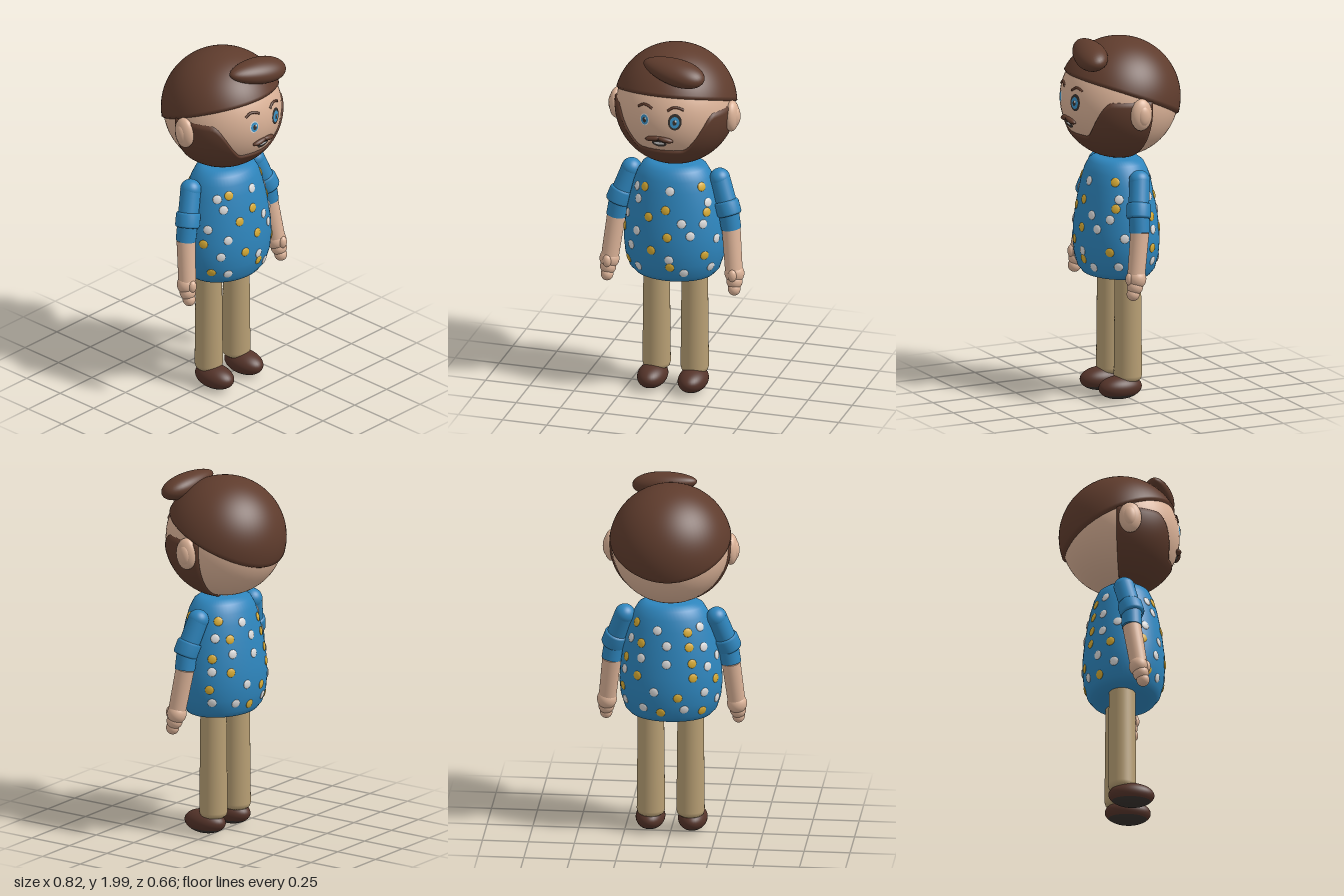
import * as THREE from 'three';
import { mergeVertices } from 'three/addons/utils/BufferGeometryUtils.js';

const V = (x, y, z) => new THREE.Vector3(x, y, z);
const paint = (name, color) => {
  const m = new THREE.MeshStandardMaterial({ color });
  m.name = name;
  return m;
};

export function createModel() {
  const model = new THREE.Group();
  model.name = 'man';
  const skin = paint('skin', 0xdcb398), hair = paint('hair brown', 0x5f3c2d);
  const shirt = paint('shirt blue', 0x2e86be), khaki = paint('trouser khaki', 0xb89f74);
  const shoe = paint('shoe brown', 0x55342a), dark = paint('charcoal', 0x38322e);
  const white = paint('white', 0xdcdcdc), yellow = paint('yellow', 0xd9ad35);
  const iris = paint('iris blue', 0x3b93c8);
  hair.side = THREE.DoubleSide;

  const add = (name, geo, mat, pos = V(0, 0, 0)) => {
    const m = new THREE.Mesh(geo, mat);
    m.name = name;
    m.position.copy(pos);
    model.add(m);
    return m;
  };
  const blob = (name, mat, pos, r) => {
    const m = add(name, new THREE.SphereGeometry(1, 32, 20), mat, pos);
    m.scale.set(...r);
    return m;
  };
  // Turns a part built along y so that it runs from p to q
  const along = (m, p, q) => {
    m.position.copy(p).lerp(q, 0.5);
    m.quaternion.setFromUnitVectors(V(0, 1, 0), q.clone().sub(p).normalize());
    return m;
  };
  const limb = (name, mat, p, q, rp, rq) =>
    along(add(name, new THREE.CylinderGeometry(rq, rp, p.distanceTo(q), 28), mat), p, q);

  // Head
  const C = V(0, 1.657, 0), HR = 0.322;
  add('head', new THREE.SphereGeometry(HR, 48, 32), skin, C);

  // Shell over the head: azimuth a0..a1, height from one rule to another
  const shell = (name, R, span, top, bottom, tuck) => {
    const geo = new THREE.PlaneGeometry(1, 1, 72, 30);
    const p = geo.attributes.position;
    for (let i = 0; i < p.count; i++) {
      const u = p.getX(i), v = 0.5 - p.getY(i), a = u * 2 * span;
      const angle = y => Math.acos(THREE.MathUtils.clamp((y - C.y) / R, -1, 1));
      const t = THREE.MathUtils.lerp(angle(top(a)), angle(bottom(a)), v);
      const r = tuck(Math.abs(u), v) ? HR - 0.01 : R;
      p.setXYZ(i, r * Math.sin(t) * Math.sin(a), r * Math.cos(t), r * Math.sin(t) * Math.cos(a));
    }
    geo.deleteAttribute('uv');
    geo.deleteAttribute('normal');
    const smooth = mergeVertices(geo, 1e-5);
    smooth.computeVertexNormals();
    add(name, smooth, hair, C);
  };
  const hairline = a => 1.70 + 0.14 * Math.cos(a) - 0.035 * Math.cos(a) ** 2;
  shell('hairCap', 0.334, Math.PI, () => 3, hairline, (u, v) => v > 0.99);
  const beardLine = a => 1.49 + 0.22 * THREE.MathUtils.smoothstep(Math.abs(a), 0.42, 1.0);
  shell('beard', 0.331, Math.PI / 2 + 0.18, beardLine, () => 0, (u, v) => v < 0.01 || u > 0.499);

  // Quiff, thinner towards one end
  const quiffGeo = new THREE.SphereGeometry(1, 40, 28);
  const qp = quiffGeo.attributes.position;
  for (let i = 0; i < qp.count; i++) {
    const k = 1 + 0.2 * qp.getX(i);
    qp.setXYZ(i, qp.getX(i), qp.getY(i) * k, qp.getZ(i) * k);
  }
  quiffGeo.computeVertexNormals();
  const quiff = add('quiff', quiffGeo, hair, V(0.053, 1.93, 0.208));
  quiff.scale.set(0.182, 0.063, 0.086);
  quiff.rotation.set(0.25, -0.2, -0.1);

  // Thin face plates, curved to follow the head
  const plate = (name, mat, x, y, rx, ry, lift) => {
    const geo = new THREE.CircleGeometry(1, 32);
    const p = geo.attributes.position;
    for (let i = 0; i < p.count; i++) {
      const px = x + p.getX(i) * rx, py = y + p.getY(i) * ry - C.y;
      p.setXYZ(i, px, py, Math.sqrt((HR + lift) ** 2 - px * px - py * py));
    }
    geo.computeVertexNormals();
    add(name, geo, mat, C);
  };
  for (const [side, x, k] of [['right', -0.08, 0.9], ['left', 0.09, 1.05]]) {
    if (side === 'left') plate('leftEyeRim', dark, x, 1.677, 0.036, 0.047, 0.003);
    else plate('rightEyeWhite', white, x, 1.675, 0.027, 0.034, 0.003);
    plate(side + 'Iris', iris, x, 1.675, 0.024 * k, 0.031 * k, 0.005);
    plate(side + 'Pupil', dark, x, 1.675, 0.011, 0.015, 0.007);
    plate(side + 'EyeGlint', white, x + 0.007, 1.684, 0.005, 0.006, 0.009);
    const arc = [[-0.042, 1.738], [-0.012, 1.756], [0.015, 1.754], [0.042, 1.742]].map(([dx, y]) =>
      V(x + dx, y, Math.sqrt(0.323 ** 2 - (x + dx) ** 2 - (y - C.y) ** 2)));
    add(side + 'Brow', new THREE.TubeGeometry(new THREE.CatmullRomCurve3(arc), 16, 0.007, 8), hair);
  }
  plate('mouth', dark, 0, 1.541, 0.042, 0.024, 0.003);
  plate('teeth', white, 0, 1.541, 0.028, 0.008, 0.006);

  for (const s of [-1, 1]) {
    const side = s > 0 ? 'left' : 'right';
    blob(side + 'Moustache', hair, V(s * 0.035, 1.567, 0.309), [0.045, 0.015, 0.019])
      .rotation.set(0, s * 0.12, -s * 0.2);

    // Ears
    blob(side + 'Ear', skin, V(s * 0.325, 1.63, 0.025), [0.04, 0.088, 0.062]);
    blob(side + 'InnerEar', skin, V(s * 0.348, 1.628, 0.022), [0.024, 0.055, 0.036]);

    // Arms: sleeve, rolled cuff, forearm and hand
    const shoulder = V(s * 0.25, 1.245, 0), cuff = V(s * 0.306, 1.09, 0.032);
    const elbow = V(s * 0.325, 0.975, 0.035), wrist = V(s * 0.35, 0.75, 0.068);
    blob(side + 'Shoulder', shirt, shoulder, [0.056, 0.056, 0.058]);
    limb(side + 'UpperSleeve', shirt, shoulder, cuff, 0.056, 0.056);
    limb(side + 'LowerSleeve', shirt, cuff, elbow, 0.056, 0.055);
    const roll = [[0.05, -0.042], [0.062, -0.04], [0.067, -0.03], [0.067, 0.03], [0.062, 0.04], [0.05, 0.042]];
    along(add(side + 'Cuff', new THREE.LatheGeometry(roll.map(p => new THREE.Vector2(...p)), 32), shirt),
      cuff.clone().lerp(shoulder, -0.2), cuff.clone().lerp(shoulder, 0.2));
    limb(side + 'Forearm', skin, wrist, elbow, 0.048, 0.051);
    blob(side + 'Hand', skin, V(s * 0.354, 0.727, 0.068), [0.054, 0.056, 0.052]);
    blob(side + 'Knuckles', skin, V(s * 0.358, 0.685, 0.08), [0.044, 0.045, 0.044]);
    blob(side + 'Fingers', skin, V(s * 0.36, 0.645, 0.092), [0.034, 0.037, 0.036]);
    blob(side + 'Thumb', skin, V(s * 0.355, 0.728, 0.112), [0.024, 0.035, 0.022]);

    // Trouser legs, rounded at the hem
    const leg = [[0, 0.1], [0.06, 0.1], [0.072, 0.11], [0.077, 0.13], [0.071, 0.74]];
    add(side + 'Leg', new THREE.LatheGeometry(leg.map(p => new THREE.Vector2(...p)), 36), khaki, V(s * 0.108, 0, 0));

    // Shoes with dark soles
    const cut = Math.PI * 0.68;
    for (const [name, mat, t0, t1] of [['Shoe', shoe, 0, cut], ['Sole', dark, cut, Math.PI - cut]]) {
      const m = add(side + name, new THREE.SphereGeometry(1, 36, 20, 0, Math.PI * 2, t0, t1), mat,
        V(s * 0.115, 0.067, 0.05));
      m.scale.set(0.08, 0.065, 0.125);
    }
  }

  // Shirt body: lathe flattened front to back
  const profile = [[0, 0.677], [0.17, 0.677], [0.22, 0.688], [0.25, 0.72], [0.272, 0.79], [0.28, 0.87],
    [0.276, 0.95], [0.263, 1.04], [0.246, 1.12], [0.226, 1.2], [0.205, 1.26], [0.178, 1.307],
    [0.135, 1.333], [0, 1.337]].map(p => new THREE.Vector2(...p));
  const DEPTH = 0.8, SHIFT = 0.018;
  add('shirtBody', new THREE.LatheGeometry(profile, 56), shirt, V(0, 0, SHIFT)).scale.z = DEPTH;

  // Raised dots on the shirt, each given by its angle from the front and its height
  const radiusAt = y => {
    const i = profile.findIndex(p => p.y > y), a = profile[i - 1], b = profile[i];
    return THREE.MathUtils.lerp(a.x, b.x, (y - a.y) / (b.y - a.y));
  };
  const dotGeo = new THREE.SphereGeometry(1, 16, 10);
  const dots = (name, mat, list) => list.forEach(([deg, y]) => {
    const t = THREE.MathUtils.degToRad(deg), r = radiusAt(y);
    const slope = (radiusAt(y + 0.01) - radiusAt(y - 0.01)) / 0.02;
    const m = add(name, dotGeo, mat, V(r * Math.sin(t), y, r * DEPTH * Math.cos(t) + SHIFT));
    const normal = V(Math.sin(t), -slope, Math.cos(t) / DEPTH).normalize();
    m.quaternion.setFromUnitVectors(V(0, 0, 1), normal);
    m.scale.set(0.025, 0.025, 0.007);
  });
  dots('whiteDot', white, [
    [-52, 1.2], [-42, 1.14], [-63, 1.03], [-36, 0.965], [-45, 0.87], [-36, 0.755], [7, 1.215],
    [22, 1.04], [32, 0.97], [7, 0.83], [25, 0.75], [63, 1.14], [50, 1.03], [62, 0.77], [70, 0.93],
    [121, 1.14], [118, 0.96], [118, 0.785], [165, 1.21], [179, 1.13], [179, 1.03], [146, 1.05],
    [165, 0.87], [150, 0.77], [-130, 1.22], [-130, 1.11], [-128, 1.0], [-105, 1.04], [-135, 0.86], [-160, 0.77], [-110, 0.8]]);
  dots('yellowDot', yellow, [
    [-34, 1.215], [-20, 1.06], [2, 1.11], [-68, 0.945], [-14, 0.875], [-58, 0.77], [5, 0.96],
    [8, 0.785], [57, 1.23], [50, 0.85], [58, 1.09], [125, 1.23], [143, 1.13], [118, 1.03], [143, 0.95],
    [115, 0.86], [-152, 1.2], [-152, 1.12], [-150, 1.03], [-150, 0.95], [-168, 0.84], [172, 0.75],
    [-115, 0.92], [-135, 0.75]]);
  return model;
}
